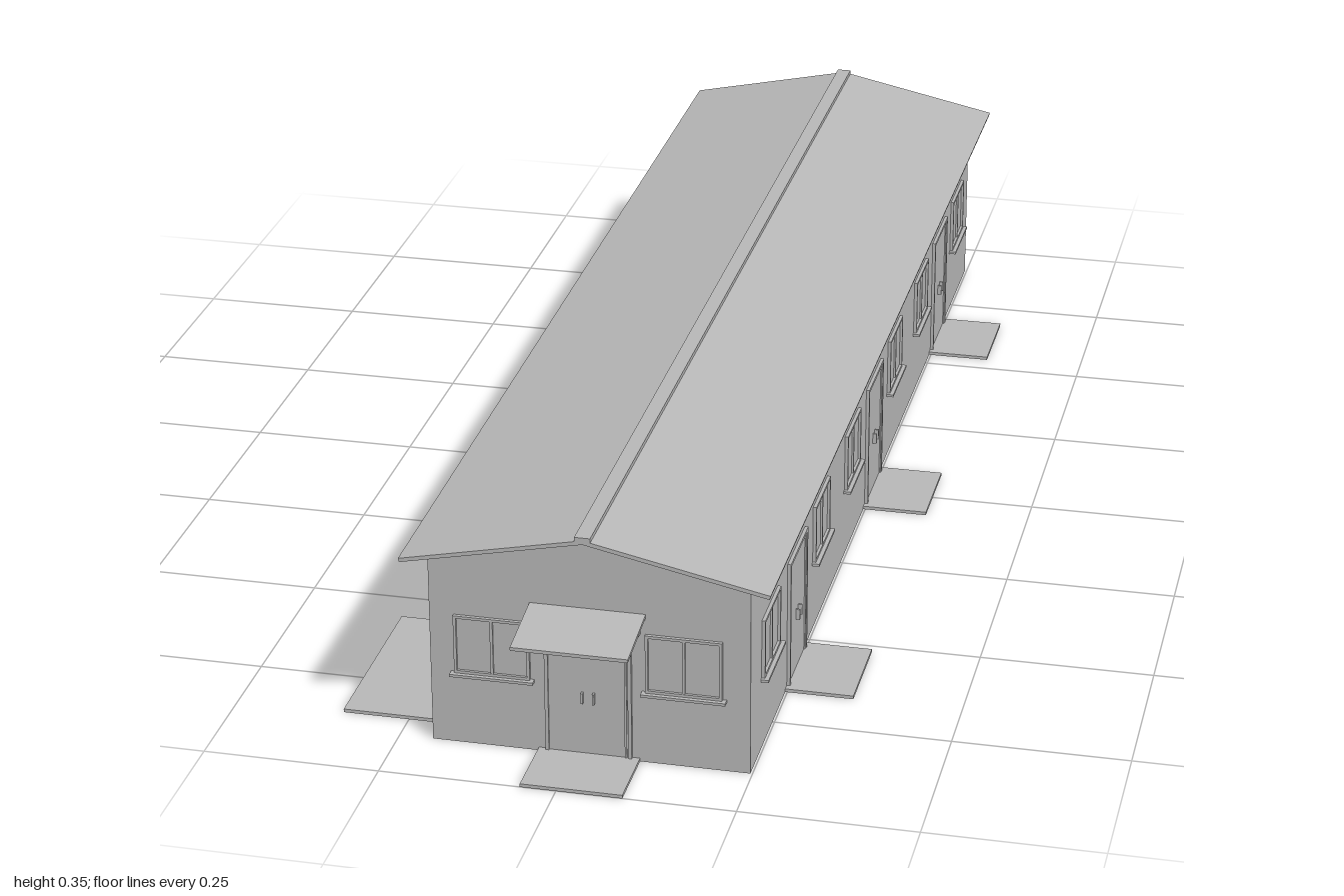
import * as THREE from 'three';

const paint = new THREE.MeshStandardMaterial({ color: 0xb8b8b8 });
paint.name = 'light grey';

// Main building dimensions
const LEFT = 0.247, RIGHT = -0.202, FRONT = 0.897, BACK = -0.903;
const RIDGE_X = 0.0225;

function mesh(name, geometry, parent) {
  const m = new THREE.Mesh(geometry, paint);
  m.name = name;
  parent.add(m);
  return m;
}

// Box given by its limits on each axis
function box(name, parent, x0, x1, y0, y1, z0, z1) {
  const m = mesh(name, new THREE.BoxGeometry(x1 - x0, y1 - y0, z1 - z0), parent);
  m.position.set((x0 + x1) / 2, (y0 + y1) / 2, (z0 + z1) / 2);
  return m;
}

// Outline in x and y, extruded from z0 to z1
function extrude(name, parent, points, z0, z1) {
  const shape = new THREE.Shape(points.map(([x, y]) => new THREE.Vector2(x, y)));
  const g = new THREE.ExtrudeGeometry(shape, { depth: z1 - z0, bevelEnabled: false });
  g.translate(0, 0, z0);
  return mesh(name, g, parent);
}

// Frame of constant bar width; an open foot makes a door frame
function frame(name, parent, w, y0, y1, bar, depth, openFoot) {
  const h = w / 2, i = h - bar;
  if (openFoot) {
    return extrude(name, parent, [[-h, y0], [-i, y0], [-i, y1 - bar], [i, y1 - bar],
      [i, y0], [h, y0], [h, y1], [-h, y1]], 0, depth);
  }
  const s = new THREE.Shape([[-h, y0], [h, y0], [h, y1], [-h, y1]].map(p => new THREE.Vector2(...p)));
  s.holes.push(new THREE.Path([[-i, y0 + bar], [-i, y1 - bar], [i, y1 - bar], [i, y0 + bar]]
    .map(p => new THREE.Vector2(...p))));
  return mesh(name, new THREE.ExtrudeGeometry(s, { depth, bevelEnabled: false }), parent);
}

// Window: frame, two sashes and a projecting sill; local z points out of the wall
function makeWindow() {
  const g = new THREE.Group();
  g.name = 'window';
  frame('windowFrame', g, 0.107, 0.11, 0.198, 0.004, 0.005, false);
  box('windowPanes', g, -0.051, 0.051, 0.113, 0.195, -0.002, 0.001);
  box('windowMullion', g, -0.002, 0.002, 0.113, 0.195, 0, 0.004);
  box('windowSill', g, -0.059, 0.059, 0.106, 0.11, 0, 0.011);
  return g;
}

// Door: frame, leaf, pair of upright handles and the paving slab before it
function makeDoor(slabWidth = 0.143, slabDepth = 0.098) {
  const g = new THREE.Group();
  g.name = 'door';
  frame('doorFrame', g, 0.122, 0, 0.197, 0.005, 0.005, true);
  box('doorLeaf', g, -0.056, 0.056, 0.004, 0.192, -0.002, 0.002);
  box('doorMullion', g, 0.051, 0.054, 0.004, 0.192, 0, 0.004);
  for (const x of [-0.008, 0.008]) box('doorHandle', g, x - 0.0015, x + 0.0015, 0.084, 0.1, 0, 0.008);
  box('doorSlab', g, -slabWidth / 2, slabWidth / 2, 0, 0.005, -0.01, slabDepth);
  return g;
}

// Wide gate with its larger slab
function makeGate() {
  const g = new THREE.Group();
  g.name = 'gate';
  frame('gateFrame', g, 0.305, 0, 0.238, 0.008, 0.009, true);
  box('gatePanel', g, -0.145, 0.145, 0.004, 0.231, -0.002, 0.005);
  for (const z of [-0.008, 0.008]) box('gateHandle', g, z - 0.0015, z + 0.0015, 0.084, 0.1, 0, 0.011);
  box('gateSlab', g, -0.1425, 0.1425, 0, 0.005, -0.01, 0.143);
  return g;
}

// Put a fitting on one of the four walls, at a position along it
function mount(parent, item, wall, along) {
  const [x, z, turn] = {
    front: [along, FRONT, 0],
    back: [along, BACK, Math.PI],
    left: [LEFT, along, Math.PI / 2],
    right: [RIGHT, along, -Math.PI / 2],
  }[wall];
  item.position.set(x, 0, z);
  item.rotation.y = turn;
  parent.add(item);
}

export function createModel() {
  const model = new THREE.Group();
  model.name = 'longHall';

  // Walls with gabled ends
  extrude('walls', model, [[RIGHT, 0], [LEFT, 0], [LEFT, 0.29], [RIDGE_X, 0.337], [RIGHT, 0.29]], BACK, FRONT);

  // Thin pitched roof and ridge cap
  const roof = [[-0.256, 0.2825], [0, 0.3365], [0.256, 0.2825], [0.2575, 0.288], [0, 0.3425], [-0.2575, 0.288]];
  extrude('roof', model, roof.map(([x, y]) => [x + RIDGE_X - 0.001, y]), -0.932, 0.922);
  const cap = [[-0.011, 0.339], [0.011, 0.339], [0.011, 0.3465], [-0.011, 0.3465]];
  extrude('ridgeCap', model, cap.map(([x, y]) => [x + RIDGE_X - 0.001, y]), -0.932, 0.922);

  // End walls: a door between two windows
  for (const wall of ['front', 'back']) {
    for (const x of [-0.114, 0.155]) mount(model, makeWindow(), wall, x);
  }
  mount(model, makeDoor(0.143, 0.103), 'front', 0.021);
  mount(model, makeDoor(0.143, 0.097), 'back', 0.019);

  // Left wall: three doors and six windows
  for (const z of [0.59, -0.008, -0.606]) mount(model, makeDoor(), 'left', z);
  for (const z of [0.772, 0.415, 0.172, -0.185, -0.425, -0.782]) mount(model, makeWindow(), 'left', z);

  // Right wall: a gate near each end, a door and four windows between
  for (const z of [0.71, -0.727]) mount(model, makeGate(), 'right', z);
  mount(model, makeDoor(0.143, 0.101), 'right', -0.008);
  for (const z of [0.45, 0.23, -0.245, -0.465]) mount(model, makeWindow(), 'right', z);

  // Sloping canopy over the front door, on two brackets
  const canopy = new THREE.Group();
  canopy.name = 'canopy';
  const slab = extrude('canopyRoof', canopy,
    [[-FRONT, 0.223], [-FRONT, 0.228], [-1, 0.213], [-1, 0.208]], -0.06, 0.102);
  slab.rotation.y = Math.PI / 2;
  slab.position.x = 0.042;
  // after the turn the extrusion runs along x, and the outline runs along z
  slab.position.x = 0;
  for (const x of [-0.05, 0.093]) {
    box('canopyBracket', canopy, x - 0.0015, x + 0.0015, 0.198, 0.222, FRONT - 0.002, FRONT + 0.012);
  }
  model.add(canopy);

  return model;
}
